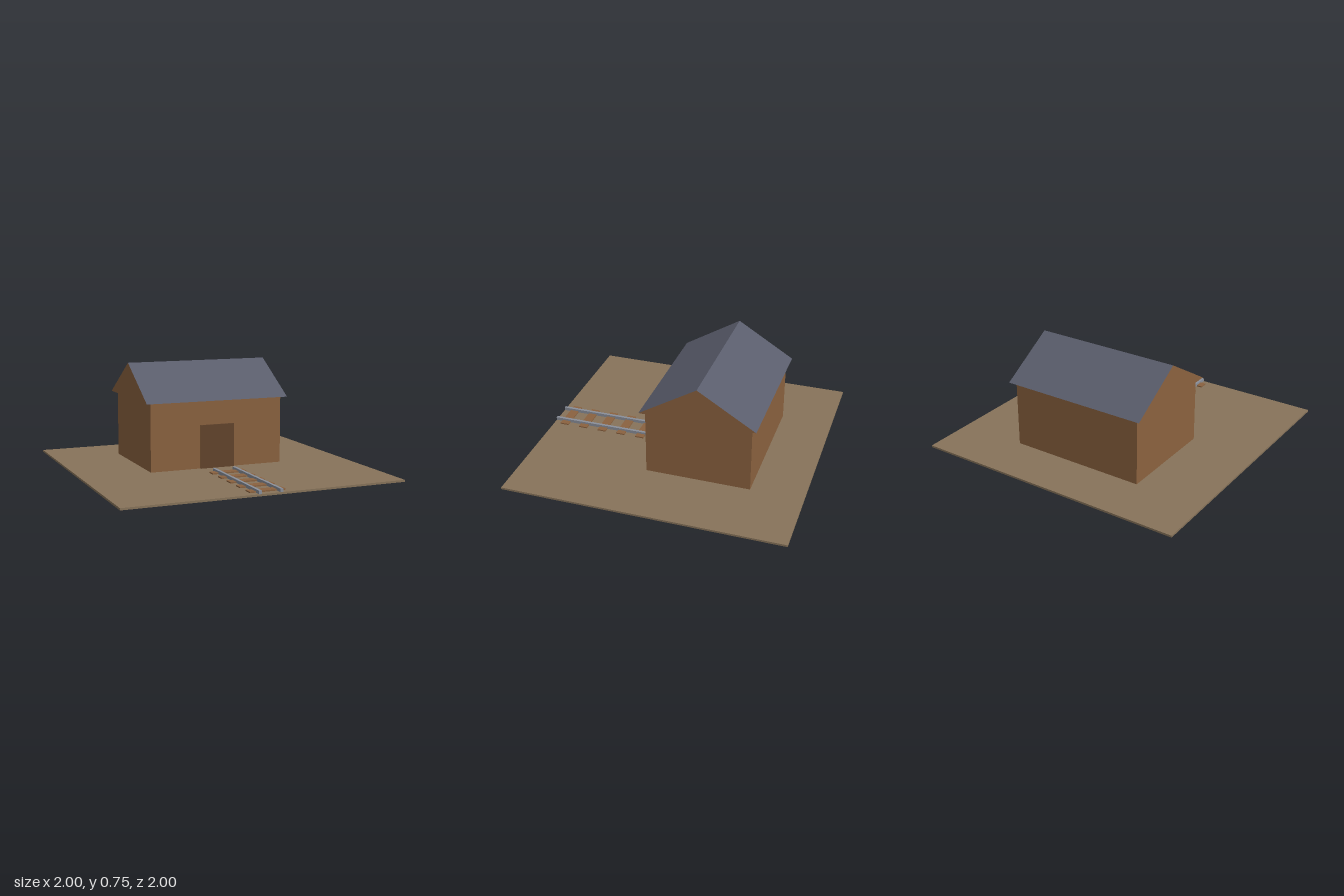
import * as THREE from 'three';

const mat = (name, color, side = THREE.FrontSide) =>
  Object.assign(new THREE.MeshStandardMaterial({ color, side }), { name });

export function createModel() {
  const earth = mat('earth', 0x87735a);
  const wood = mat('wood', 0x8b623f, THREE.DoubleSide);
  const darkWood = mat('dark wood', 0x62442c);
  const slate = mat('slate', 0x5a5d6c, THREE.DoubleSide);
  const steel = mat('steel', 0x8a8f9a);

  const model = new THREE.Group();
  model.name = 'trackHouse';

  const add = (name, geometry, material) => {
    const mesh = new THREE.Mesh(geometry, material);
    mesh.name = name;
    model.add(mesh);
    return mesh;
  };
  // box given by its lower and upper limits
  const box = (name, material, [x0, x1], [y0, y1], [z0, z1]) =>
    add(name, new THREE.BoxGeometry(x1 - x0, y1 - y0, z1 - z0), material)
      .position.set((x0 + x1) / 2, (y0 + y1) / 2, (z0 + z1) / 2);
  // flat polygon from a fan of corners, counter-clockwise from outside
  const face = (corners) => {
    const g = new THREE.BufferGeometry();
    const points = [];
    for (let i = 1; i < corners.length - 1; i++) points.push(...corners[0], ...corners[i], ...corners[i + 1]);
    g.setAttribute('position', new THREE.Float32BufferAttribute(points, 3));
    g.computeVertexNormals();
    return g;
  };

  // ground slab, with the building's footprint just showing beneath
  box('ground', earth, [-1, 1], [0.001, 0.015], [-1, 1]);

  // building
  box('walls', wood, [-0.5, 0.5], [0, 0.5], [-0.625, 0.125]);
  box('door', darkWood, [-0.127, 0.127], [0, 0.327], [0.12, 0.137]);

  // hollow gable roof, open underneath
  const w = 0.537, eave = 0.5, ridge = 0.75, front = 0.16, mid = -0.25, back = -0.66;
  add('frontRoofSlope', face([[-w, eave, front], [w, eave, front], [w, ridge, mid], [-w, ridge, mid]]), slate);
  add('backRoofSlope', face([[w, eave, back], [-w, eave, back], [-w, ridge, mid], [w, ridge, mid]]), slate);
  add('leftGable', face([[w, eave, front], [w, eave, back], [w, ridge, mid]]), wood);
  add('rightGable', face([[-w, eave, back], [-w, eave, front], [-w, ridge, mid]]), wood);

  // railway track leading to the door
  for (const x of [-0.075, 0.075]) {
    box(x > 0 ? 'leftRail' : 'rightRail', steel, [x - 0.01, x + 0.01], [0.015, 0.038], [0.25, 1]);
  }
  for (let i = 0; i < 5; i++) {
    const z = 0.3175 + i * 0.15;
    box('sleeper' + (i + 1), wood, [-0.127, 0.127], [0, 0.024], [z - 0.032, z + 0.032]);
  }

  return model;
}
